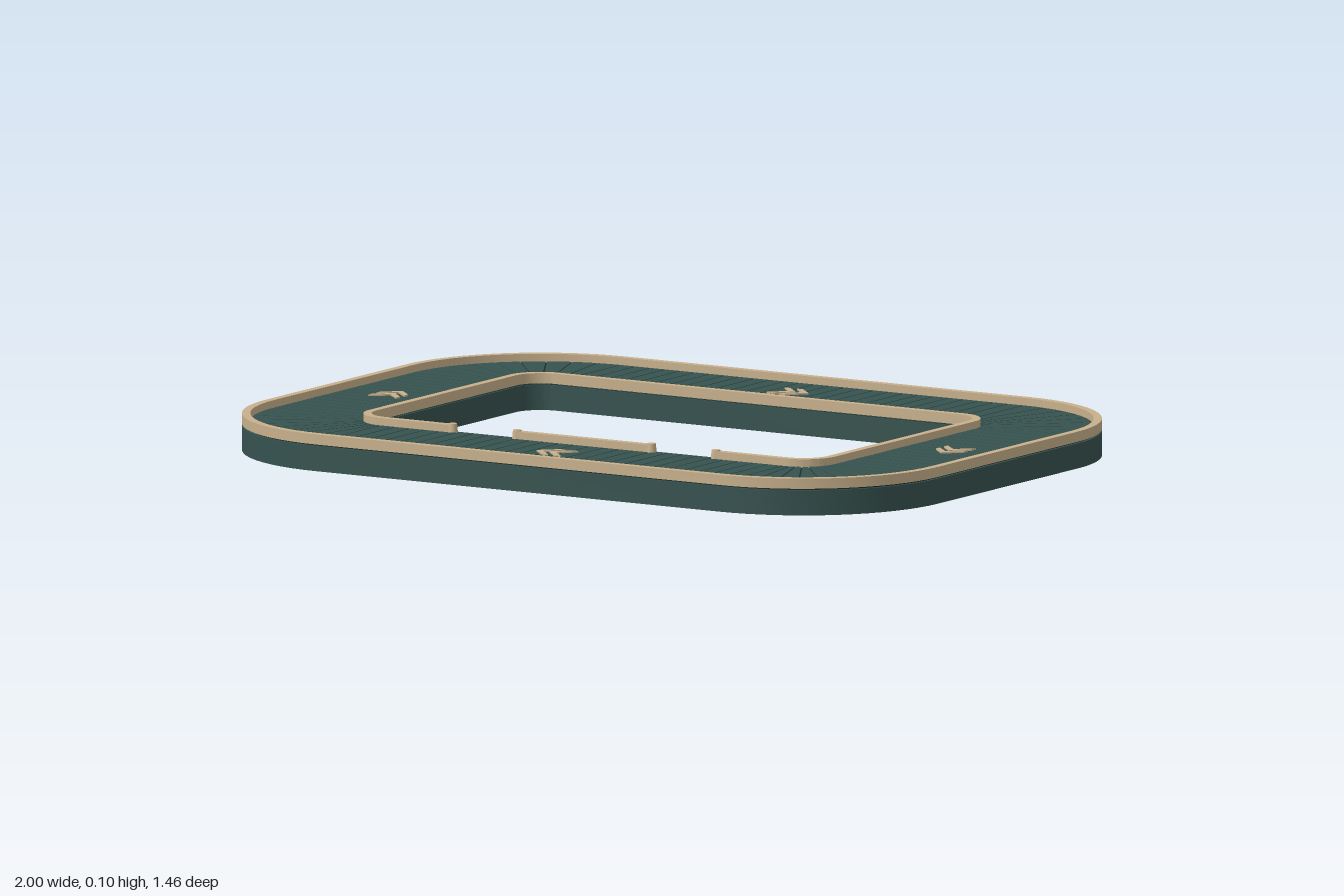
import * as THREE from 'three';
import { toCreasedNormals } from 'three/addons/utils/BufferGeometryUtils.js';

// The track follows a rounded rectangle with corner centres at (+-CX, +-CZ)
const CX = 0.6, CZ = 0.33, R_IN = 0.073, R_OUT = 0.4, RAIL = 0.021;

const paint = (name, hex) => {
  const m = new THREE.MeshStandardMaterial({ color: hex });
  m.name = name;
  return m;
};

// Rounded rectangle points (x, -z), from the front right end round the back to the front left end
function contour(r, start = null, end = null) {
  const pts = [], n = 16;
  if (start !== null) pts.push(new THREE.Vector2(start, -CZ - r));
  [[1, -1], [1, 1], [-1, 1], [-1, -1]].forEach(([sx, sy], k) => {
    for (let i = 0; i <= n; i++) {
      const a = (k - 1 + i / n) * Math.PI / 2;
      pts.push(new THREE.Vector2(sx * CX + r * Math.cos(a), sy * CZ + r * Math.sin(a)));
    }
  });
  if (end !== null) pts.push(new THREE.Vector2(end, -CZ - r));
  return pts;
}

function ringShape(rIn, rOut) {
  const s = new THREE.Shape(contour(rOut));
  s.holes.push(new THREE.Path(contour(rIn)));
  return s;
}

// Extrude a plan shape upward from y0 to y1
function slab(shape, y0, y1) {
  const g = new THREE.ExtrudeGeometry(shape, { depth: y1 - y0, bevelEnabled: false });
  g.rotateX(-Math.PI / 2);
  g.translate(0, y0, 0);
  return toCreasedNormals(g, 0.5);
}

export function createModel() {
  const model = new THREE.Group();
  model.name = 'loopConveyor';
  const teal = paint('darkTeal', 0x36524f);
  const gap = paint('slatGap', 0x1c2b2b);
  const tan = paint('tan', 0xc8b08c);

  const add = (name, geo, mat, parent = model) => {
    const m = new THREE.Mesh(geo, mat);
    m.name = name;
    parent.add(m);
    return m;
  };

  // Base, with a recessed bed under the slats
  add('base', slab(ringShape(R_IN, R_OUT), 0, 0.064), teal);
  add('bed', slab(ringShape(R_IN + 0.006, R_OUT - 0.008), 0.064, 0.072), gap);

  // Slats on the straight runs
  const belt = new THREE.Group();
  belt.name = 'belt';
  model.add(belt);
  const Y0 = 0.066, Y1 = 0.075, SLIT = 0.004;
  const rA = R_IN + 0.001, rB = R_OUT - 0.01, mid = (rA + rB) / 2, wide = rB - rA;
  const run = (count, length, place) => {
    const pitch = length / count;
    for (let i = 0; i < count; i++) place(-length / 2 + (i + 0.5) * pitch, pitch - SLIT);
  };
  for (const s of [-1, 1]) {
    run(27, 2 * CX, (x, w) =>
      add('slat', new THREE.BoxGeometry(w, Y1 - Y0, wide), teal, belt)
        .position.set(x, (Y0 + Y1) / 2, s * (CZ + mid)));
    run(15, 2 * CZ, (z, w) =>
      add('slat', new THREE.BoxGeometry(wide, Y1 - Y0, w), teal, belt)
        .position.set(s * (CX + mid), (Y0 + Y1) / 2, z));
  }

  // Wedge slats fanning round the corners
  const WEDGES = 9;
  [[1, 1], [-1, 1], [-1, -1], [1, -1]].forEach(([sx, sy], k) => {
    for (let i = 0; i < WEDGES; i++) {
      const step = Math.PI / 2 / WEDGES, a0 = k * Math.PI / 2 + i * step, a1 = a0 + step;
      const pts = [];
      const put = (r, a) => pts.push(new THREE.Vector2(sx * CX + r * Math.cos(a), sy * CZ + r * Math.sin(a)));
      const trim = r => SLIT / 2 / r;
      for (let j = 0; j <= 3; j++) put(rB, THREE.MathUtils.lerp(a0 + trim(rB), a1 - trim(rB), j / 3));
      for (let j = 0; j <= 3; j++) put(rA, THREE.MathUtils.lerp(a1 - trim(rA), a0 + trim(rA), j / 3));
      add('cornerSlat', slab(new THREE.Shape(pts), Y0, Y1), teal, belt);
    }
  });

  // Outer rail
  const RY0 = 0.068, RY1 = 0.094;
  add('outerRail', slab(ringShape(R_OUT - RAIL, R_OUT), RY0, RY1), tan);

  // Inner rail with two openings on the front run
  const strip = [...contour(R_IN + RAIL, 0.39, -0.39), ...contour(R_IN, 0.39, -0.39).reverse()];
  add('innerRail', slab(new THREE.Shape(strip), RY0, RY1), tan);
  const railZ = CZ + R_IN + RAIL / 2;
  add('innerRailMiddle', new THREE.BoxGeometry(0.4, RY1 - RY0, RAIL), tan)
    .position.set(0, (RY0 + RY1) / 2, railZ);

  // Rounded posts at the rail ends
  for (const x of [-0.392, -0.2, 0.2, 0.392]) {
    add('railEndPost', new THREE.CylinderGeometry(0.011, 0.014, 0.029, 16), tan)
      .position.set(x, 0.0825, railZ);
  }

  // Double chevrons showing the direction of travel
  const arrow = new THREE.Shape([[0, 0.042], [0.042, 0], [0, -0.042], [-0.018, -0.042], [0.022, 0], [-0.018, 0.042]]
    .reverse().map(p => new THREE.Vector2(...p)));
  const chevron = slab(arrow, 0.074, 0.079);
  [[0, -0.567, 0], [0.832, 0, -Math.PI / 2], [0, 0.563, Math.PI], [-0.832, 0, Math.PI / 2]].forEach(([x, z, turn]) => {
    const mark = new THREE.Group();
    mark.name = 'directionMark';
    for (const dx of [-0.032, 0.006]) add('chevron', chevron, tan, mark).position.x = dx;
    mark.position.set(x, 0, z);
    mark.rotation.y = turn;
    model.add(mark);
  });

  return model;
}
